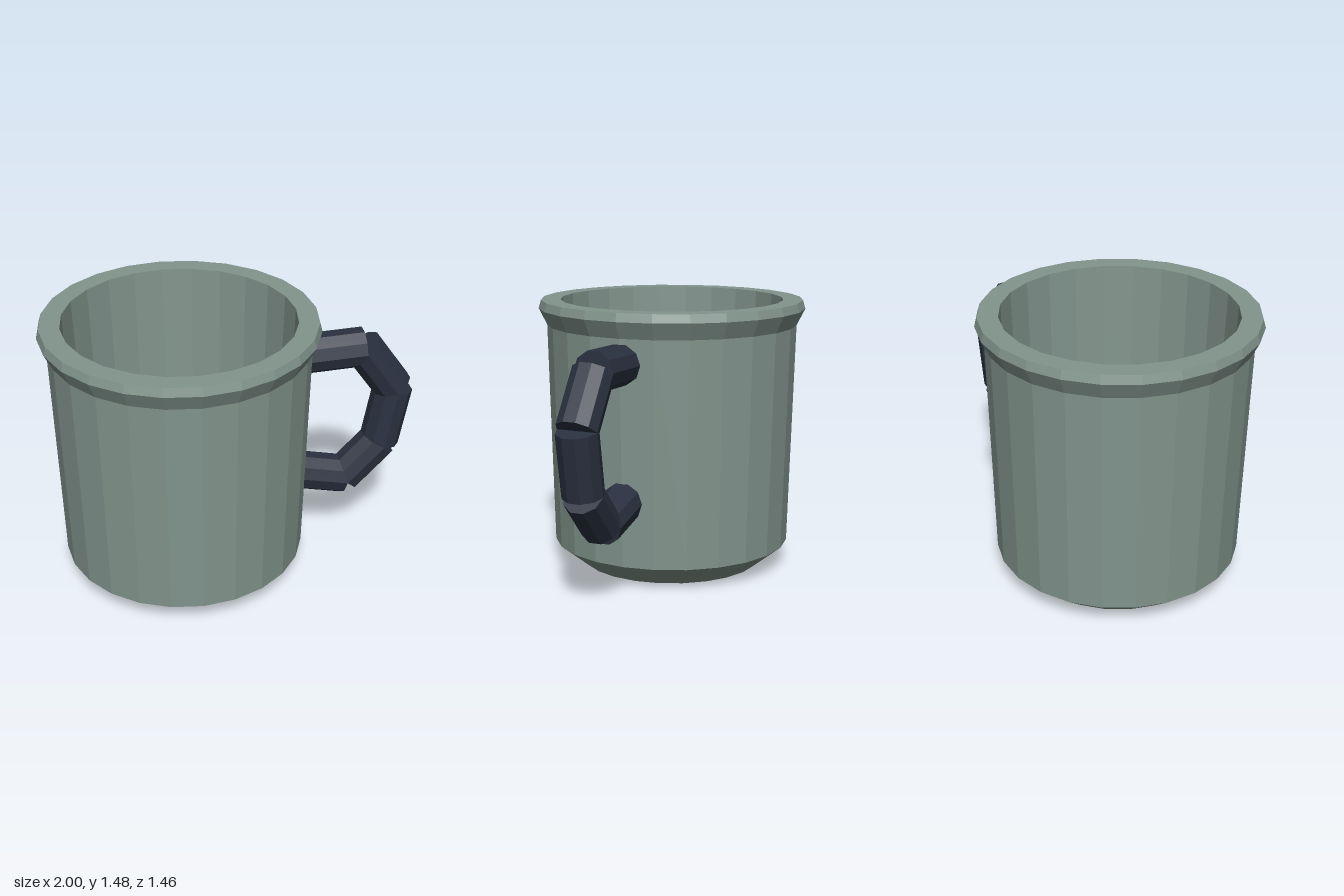
import * as THREE from 'three';

// Faceted normals for the low-poly look
function faceted(geometry) {
  const g = geometry.toNonIndexed();
  g.computeVertexNormals();
  return g;
}

export function createModel() {
  const model = new THREE.Group();
  model.name = 'mug';

  const glaze = new THREE.MeshStandardMaterial({ color: 0x82958d });
  glaze.name = 'sage glaze';
  const dark = new THREE.MeshStandardMaterial({ color: 0x2a3140 });
  dark.name = 'dark navy';

  // Cup: one closed profile, up the outside, over the rim and down the inside
  const profile = [
    [0, 0], [0.5, 0], [0.655, 0.125], [0.685, 1.34], [0.73, 1.43],
    [0.717, 1.475], [0.61, 1.475], [0.565, 0.12], [0, 0.12],
  ].map(([r, y]) => new THREE.Vector2(r, y));
  const cup = new THREE.Mesh(faceted(new THREE.LatheGeometry(profile, 24)), glaze);
  cup.name = 'cup';
  cup.position.x = -0.27;
  model.add(cup);

  // Handle: straight ten-sided segments laid end to end
  const handle = new THREE.Group();
  handle.name = 'handle';
  const path = [
    [0.36, 1.205], [0.712, 1.218], [0.895, 0.961],
    [0.836, 0.628], [0.64, 0.42], [0.36, 0.482],
  ].map(([x, y]) => new THREE.Vector2(x, y));
  for (let i = 0; i < path.length - 1; i++) {
    const a = path[i], b = path[i + 1];
    const geometry = faceted(new THREE.CylinderGeometry(0.108, 0.108, a.distanceTo(b), 10));
    const segment = new THREE.Mesh(geometry, dark);
    segment.name = `handleSegment${i + 1}`;
    segment.position.set((a.x + b.x) / 2, (a.y + b.y) / 2, 0);
    segment.rotation.z = Math.atan2(b.y - a.y, b.x - a.x) - Math.PI / 2;
    handle.add(segment);
  }
  model.add(handle);

  return model;
}
